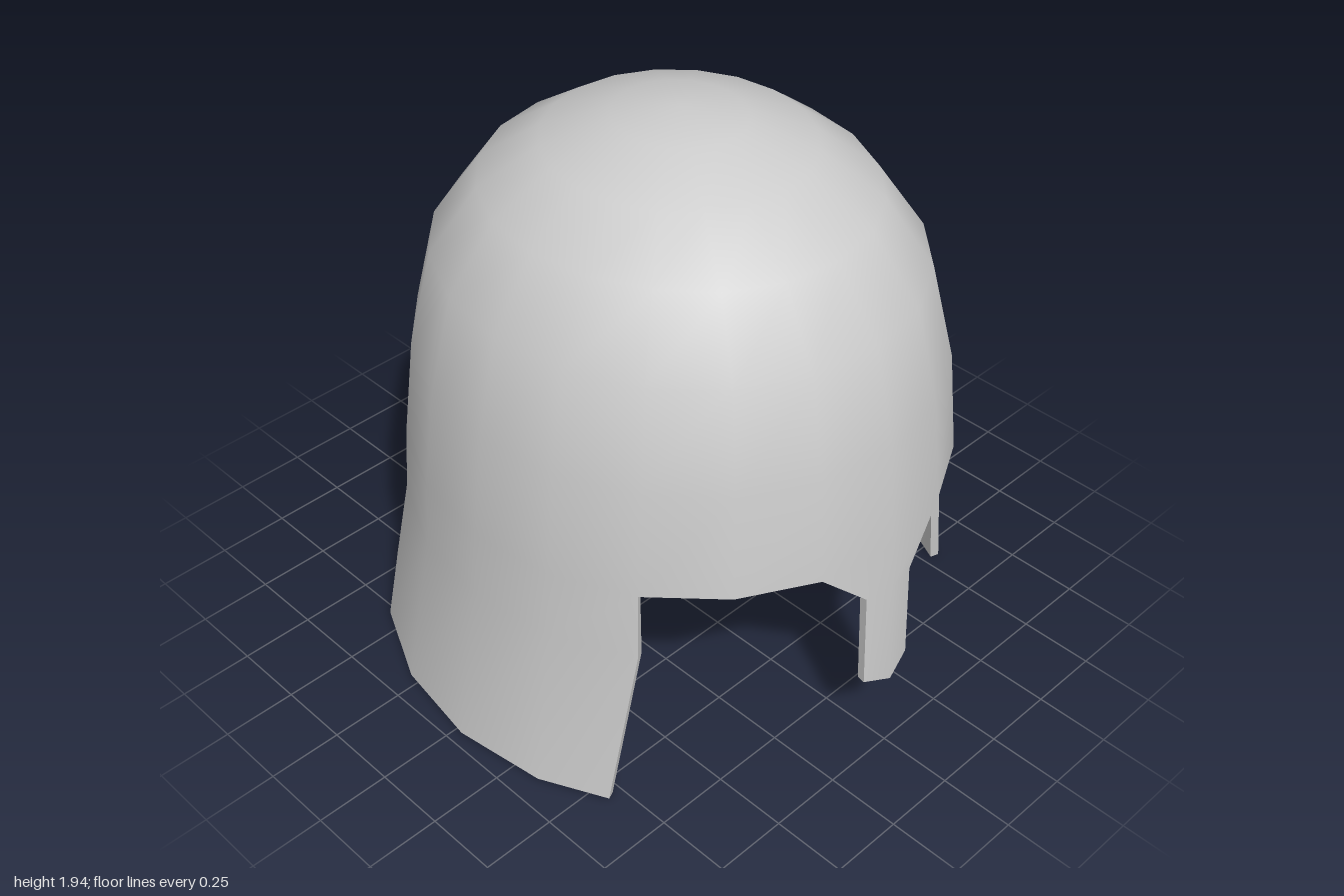
import * as THREE from 'three';
import { toCreasedNormals } from 'three/addons/utils/BufferGeometryUtils.js';

const SEG = 20;
const THICK = 0.03;

// Rings of the bowl, bottom to top: [y, half width, front z, back z]
const RINGS = [
  [0.006, 0.96, 1.06, -1.0],
  [0.57, 0.872, 0.98, -0.885],
  [0.805, 0.86, 0.965, -0.865],
  [1.16, 0.82, 0.93, -0.82],
  [1.48, 0.74, 0.85, -0.745],
  [1.7, 0.59, 0.69, -0.585],
  [1.835, 0.41, 0.48, -0.38],
  [1.915, 0.2, 0.27, -0.16],
];
const BROW = 2; // ring at the top of the face opening
const CHEEK = 3; // columns from the middle to the edge of the opening

function ringPoint([y, rx, front, back], col) {
  const a = (col / SEG) * Math.PI * 2;
  return [rx * Math.sin(a), y, (front + back) / 2 + ((front - back) / 2) * Math.cos(a)];
}

// Gives an open surface thickness: inner skin plus walls along every free edge
function thicken(points, faces, depth) {
  const skin = new THREE.BufferGeometry();
  skin.setAttribute('position', new THREE.Float32BufferAttribute(points.flat(), 3));
  skin.setIndex(faces.flat());
  skin.computeVertexNormals();
  const normal = skin.attributes.normal;
  const n = points.length;
  const inner = points.map((p, i) => [
    p[0] - depth * normal.getX(i),
    p[1] - depth * normal.getY(i),
    p[2] - depth * normal.getZ(i),
  ]);
  const edges = new Set();
  const index = [];
  for (const [a, b, c] of faces) {
    index.push(a, b, c, a + n, c + n, b + n);
    for (const [s, e] of [[a, b], [b, c], [c, a]]) edges.add(`${s},${e}`);
  }
  for (const key of edges) {
    const [s, e] = key.split(',').map(Number);
    if (!edges.has(`${e},${s}`)) index.push(s, s + n, e + n, s, e + n, e);
  }
  const solid = new THREE.BufferGeometry();
  solid.setAttribute('position', new THREE.Float32BufferAttribute([...points, ...inner].flat(), 3));
  solid.setIndex(index);
  return toCreasedNormals(solid, 0.75);
}

export function createModel() {
  const points = [];
  const faces = [];
  const add = (p) => points.push(p) - 1;
  const quad = (a, b, c, d) => faces.push([a, b, c], [a, c, d]);

  // Ring vertices; below the brow the front columns stay open
  const grid = RINGS.map((ring, j) => {
    const row = [];
    for (let i = 0; i < SEG; i++) {
      if (j < BROW && (i < CHEEK || i > SEG - CHEEK)) continue;
      const p = ringPoint(ring, i);
      // the cheek edge sweeps back towards the bottom
      if (j === 0 && (i === CHEEK || i === SEG - CHEEK)) {
        p[0] = Math.sign(p[0]) * 0.808;
        p[2] = 0.565;
      }
      row[i] = add(p);
    }
    return row;
  });

  // Neck guard, cheeks and bowl
  for (let j = 0; j < RINGS.length - 1; j++) {
    for (let i = 0; i < SEG; i++) {
      if (j < BROW && (i < CHEEK || i >= SEG - CHEEK)) continue;
      const k = (i + 1) % SEG;
      quad(grid[j][i], grid[j][k], grid[j + 1][k], grid[j + 1][i]);
    }
  }

  // Crown
  const apex = add([0, 1.94, 0.05]);
  const top = grid[RINGS.length - 1];
  for (let i = 0; i < SEG; i++) faces.push([top[i], top[(i + 1) % SEG], apex]);

  // Nose guard, tapering from the brow to a shallow point
  let upper = [grid[BROW][SEG - 1], grid[BROW][0], grid[BROW][1]];
  const noseRows = [
    [[-0.1, 0.65, 0.96], [0, 0.65, 0.978], [0.1, 0.65, 0.96]],
    [[-0.1, 0.31, 0.975], [0, 0.275, 1.0], [0.1, 0.31, 0.975]],
  ];
  for (const rowPoints of noseRows) {
    const row = rowPoints.map(add);
    for (let i = 0; i < 2; i++) quad(row[i], row[i + 1], upper[i + 1], upper[i]);
    upper = row;
  }

  const helmet = new THREE.Mesh(
    thicken(points, faces, THICK),
    new THREE.MeshStandardMaterial({ color: 0xcccccc })
  );
  helmet.name = 'helmetShell';

  const group = new THREE.Group();
  group.name = 'helmet';
  group.add(helmet);
  return group;
}
